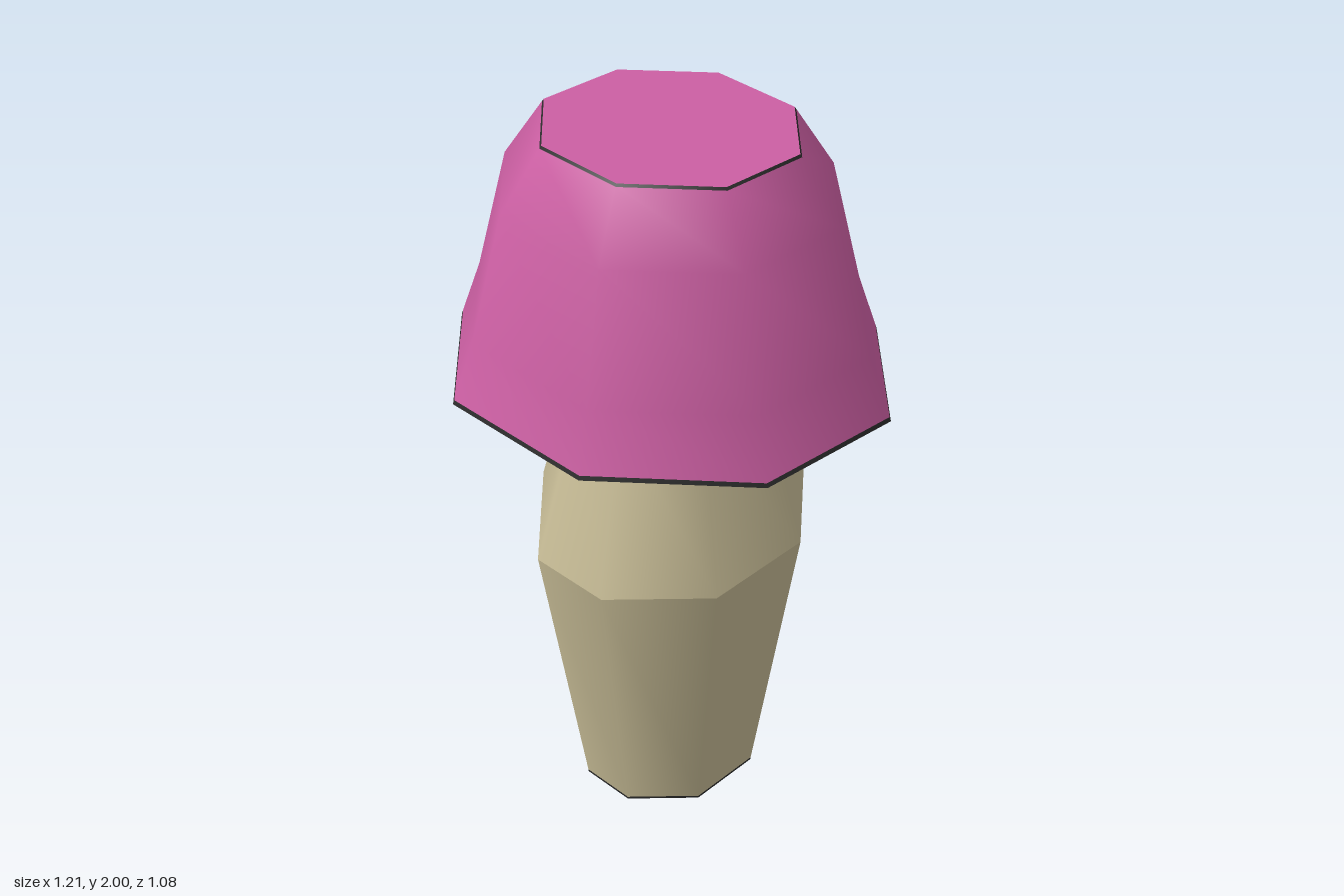
import * as THREE from 'three';

const SIDES = 8;

// Eight-sided turned surface, squashed or stretched in z; points run bottom to top.
function turned(points, zScale) {
  const g = new THREE.LatheGeometry(points.map(([r, y]) => new THREE.Vector2(r, y)), SIDES);
  return g.scale(1, 1, zScale);
}

// Slides the front (-x, +z) corner of the body round towards the front.
function skewCorner(g, zScale) {
  const p = g.attributes.position;
  for (let i = 0; i < p.count; i++) {
    const x = p.getX(i), z = p.getZ(i) / zScale;
    const r = Math.hypot(x, z);
    if (x < -0.01 && z > 0.01) {
      p.setX(i, -r * 0.585);
      p.setZ(i, r * 0.811 * zScale);
    }
  }
  return g;
}

export function createModel() {
  const model = new THREE.Group();
  model.name = 'tableLamp';
  const pink = new THREE.MeshStandardMaterial({ color: 0xcc5fa3 });
  pink.name = 'pink shade';
  const tan = new THREE.MeshStandardMaterial({ color: 0xc6bb95 });
  tan.name = 'tan body';
  const dark = new THREE.MeshStandardMaterial({ color: 0x2b2b2b });
  dark.name = 'dark trim';

  const add = (parent, name, geometry, material) => {
    const mesh = new THREE.Mesh(geometry, material);
    mesh.name = name;
    parent.add(mesh);
  };

  // Body: two tapering tiers with a crisp waist and flat ends
  const body = new THREE.Group();
  body.name = 'body';
  const bodyZ = 1.135;
  const bodyParts = [
    ['bodyBottom', [[0, 0], [0.254, 0]], tan],
    ['bodyFootTrim', [[0.254, 0], [0.255, 0.008]], dark],
    ['lowerBody', [[0.255, 0.008], [0.38, 0.84]], tan],
    ['upperBody', [[0.38, 0.84], [0.255, 1.302]], tan],
  ];
  for (const [name, points, material] of bodyParts) {
    add(body, name, skewCorner(turned(points, bodyZ), bodyZ), material);
  }

  // Shade: flared bell with closed ends and thin dark rims
  const shade = new THREE.Group();
  shade.name = 'shade';
  const shadeZ = 0.89;
  const shadeParts = [
    ['shadeUnderside', [[0, 1.3], [0.607, 1.3]], pink],
    ['shadeLowerRim', [[0.607, 1.3], [0.603, 1.312]], dark],
    ['shadeSides', [[0.603, 1.312], [0.545, 1.475], [0.455, 1.825], [0.344, 1.993]], pink],
    ['shadeUpperRim', [[0.344, 1.993], [0.339, 2]], dark],
    ['shadeTop', [[0.339, 2], [0, 2]], pink],
  ];
  for (const [name, points, material] of shadeParts) {
    add(shade, name, turned(points, shadeZ), material);
  }

  model.add(body, shade);
  return model;
}
